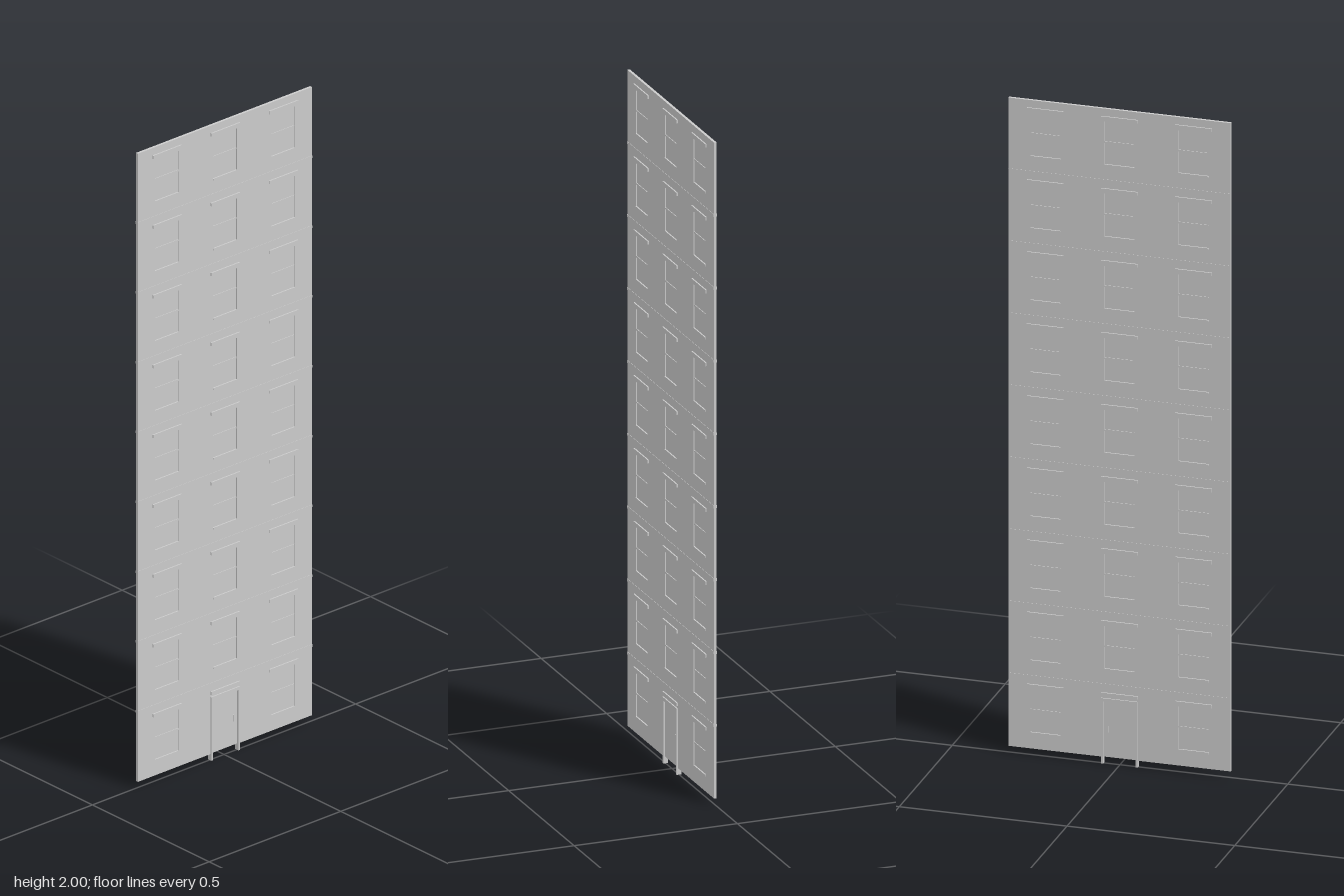
import * as THREE from 'three';

const FLOORS = 9, BASE = 0.02, TOP = 2, HALF_W = 0.331;
const STOREY = (TOP - BASE) / FLOORS;
const COLUMNS = [-0.221, 0, 0.221];
const WIN_W = 0.09, WIN_H = 0.13, WIN_Y = 0.05; // sill height above each floor
const DOOR_HALF = 0.048, DOOR_TOP = 0.19;

export function createModel() {
  const group = new THREE.Group();
  const material = new THREE.MeshStandardMaterial({ color: 0xcccccc, flatShading: true });

  const add = (name, geometry) => {
    const mesh = new THREE.Mesh(geometry, material);
    mesh.name = name;
    group.add(mesh);
    return mesh;
  };
  // Box centred on x = 0: thickness t along x, height h from y0, width w about z
  const slab = (name, t, h, w, y0, z) => {
    add(name, new THREE.BoxGeometry(t, h, w)).position.set(0, y0 + h / 2, z);
  };

  // Wall outline with a notch for the door
  const outline = new THREE.Shape([
    [-HALF_W, BASE], [-DOOR_HALF, BASE], [-DOOR_HALF, DOOR_TOP], [DOOR_HALF, DOOR_TOP],
    [DOOR_HALF, BASE], [HALF_W, BASE], [HALF_W, TOP], [-HALF_W, TOP],
  ].map(([x, y]) => new THREE.Vector2(x, y)));

  for (let f = 0; f < FLOORS; f++) {
    const floorY = BASE + f * STOREY;
    const sill = floorY + WIN_Y;

    // Thin string course between storeys
    if (f > 0) slab('floorBand', 0.01, 0.008, HALF_W * 2, floorY - 0.004, 0);

    for (const z of COLUMNS) {
      // Projecting hood over every opening
      slab('windowHood', 0.016, 0.01, 0.109, floorY + 0.187, z);
      if (f === 0 && z === 0) continue;

      // Opening in the wall (shape x becomes -z after turning)
      const l = -z - WIN_W / 2, r = -z + WIN_W / 2;
      outline.holes.push(new THREE.Path([
        new THREE.Vector2(l, sill), new THREE.Vector2(l, sill + WIN_H),
        new THREE.Vector2(r, sill + WIN_H), new THREE.Vector2(r, sill),
      ]));
      slab('windowPane', 0.002, WIN_H, WIN_W, sill, z);
      slab('windowCrossbar', 0.006, 0.005, WIN_W, sill + WIN_H * 0.5, z);
      slab('windowSill', 0.01, 0.005, WIN_W, sill - 0.005, z);
    }
  }

  // Facade wall
  const wall = new THREE.ExtrudeGeometry(outline, { depth: 0.008, bevelEnabled: false });
  wall.translate(0, 0, -0.004).rotateY(Math.PI / 2);
  add('wall', wall);

  // Entrance: recessed door, posts down to the ground, lintel and handle
  slab('door', 0.003, DOOR_TOP - BASE, DOOR_HALF * 2, BASE, 0);
  for (const s of [-1, 1]) slab('doorPost', 0.015, 0.2, 0.007, 0, s * 0.0515);
  slab('doorLintel', 0.015, 0.01, 0.109, DOOR_TOP, 0);
  slab('doorHandle', 0.007, 0.02, 0.005, 0.095, -0.035);

  return group;
}
